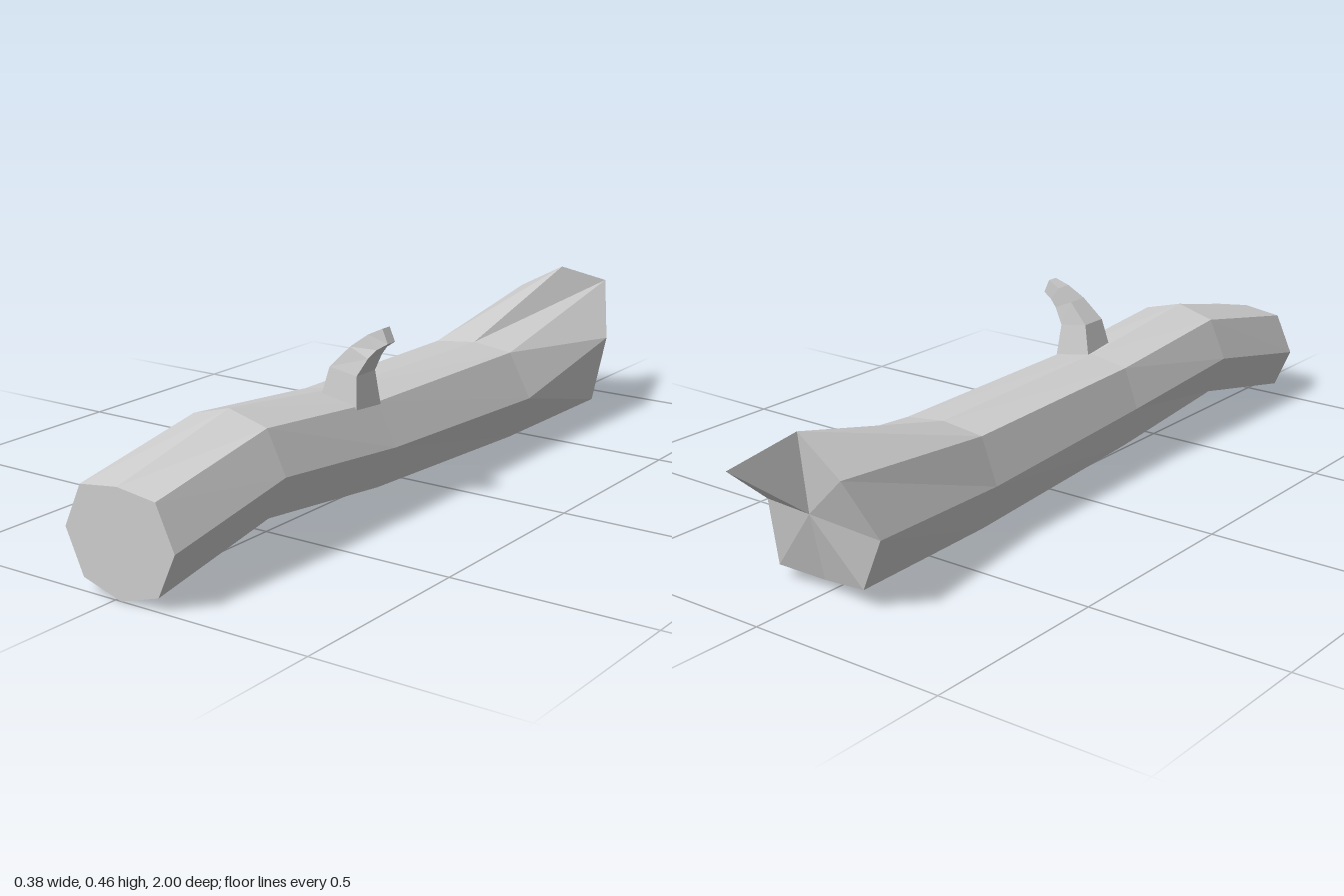
import * as THREE from 'three';

// Flat-faced mesh from polygons, each a list of [x, y, z] corners
function facetMesh(name, polygons, material) {
  const pos = [];
  for (const p of polygons) {
    for (let i = 1; i < p.length - 1; i++) pos.push(...p[0], ...p[i], ...p[i + 1]);
  }
  const geo = new THREE.BufferGeometry();
  geo.setAttribute('position', new THREE.Float32BufferAttribute(pos, 3));
  geo.computeVertexNormals();
  const mesh = new THREE.Mesh(geo, material);
  mesh.name = name;
  return mesh;
}

// Quads joining successive closed rings
function skin(rings) {
  const quads = [];
  for (let r = 0; r < rings.length - 1; r++) {
    const a = rings[r], b = rings[r + 1], n = a.length;
    for (let i = 0; i < n; i++) {
      const j = (i + 1) % n;
      quads.push([a[i], a[j], b[j], b[i]]);
    }
  }
  return quads;
}

// Octagonal trunk section: heights run from the top corner to the bottom corner
function section(z, xs, ys) {
  const [left, innerLeft, mid, innerRight, right] = xs;
  const [top, upper, side, lower, bottom] = ys;
  return [
    [mid, top, z], [innerRight, upper, z], [right, side, z], [innerRight, lower, z],
    [mid, bottom, z], [innerLeft, lower, z], [left, side, z], [innerLeft, upper, z],
  ];
}

export function createModel() {
  const group = new THREE.Group();
  group.name = 'fallenLog';
  const wood = new THREE.MeshStandardMaterial({ color: 0xcccccc, flatShading: true });
  wood.name = 'pale grey wood';

  // Splintered back edge
  const peak = [0.005, 0.393, -0.85], spike = [0.065, 0.335, -1];
  const right = [0.19, 0.225, -0.78], lowRight = [0.155, 0.045, -0.77];
  const bottom = [0.015, 0.022, -0.775], lowLeft = [-0.123, 0.045, -0.8];
  const left = [-0.195, 0.185, -0.82], upLeft = [-0.135, 0.32, -0.87];
  const brokenEdge = [peak, spike, right, lowRight, bottom, lowLeft, left, upLeft];

  // Bent trunk
  const front = section(1, [-0.135, -0.088, 0.016, 0.12, 0.168], [0.25, 0.237, 0.135, 0.031, 0]);
  const rings = [
    front,
    section(0.645, [-0.128, -0.082, 0.02, 0.125, 0.175], [0.333, 0.305, 0.203, 0.1, 0.087]),
    section(0.24, [-0.118, -0.08, 0.025, 0.13, 0.183], [0.288, 0.27, 0.168, 0.06, 0.045]),
    section(-0.36, [-0.138, -0.095, 0.02, 0.13, 0.19], [0.275, 0.262, 0.148, 0.033, 0.01]),
    brokenEdge,
  ];
  group.add(facetMesh('trunk', skin(rings), wood));
  group.add(facetMesh('sawnEnd', [[...front].reverse()], wood));

  // Broken end with a small ledge inside the right edge
  const heart = [0, 0.2, -0.83], ledgeTop = [0.136, 0.2, -0.82], ledgeLow = [0.135, 0.034, -0.795];
  group.add(facetMesh('brokenEnd', [
    [heart, peak, spike, ledgeTop],
    [ledgeTop, spike, right],
    [ledgeTop, right, lowRight, ledgeLow],
    [lowRight, bottom, ledgeLow],
    [heart, ledgeTop, ledgeLow, bottom],
    [heart, bottom, lowLeft, left],
    [heart, left, upLeft, peak],
  ], wood));

  // Curved twig: left x, y, right x, y, front z, back z
  const twig = [
    [0.025, 0.26, 0.135, 0.24, 0.332, 0.228],
    [0.05, 0.36, 0.127, 0.348, 0.318, 0.245],
    [0.1, 0.412, 0.15, 0.39, 0.306, 0.25],
    [0.14, 0.443, 0.165, 0.41, 0.292, 0.25],
    [0.173, 0.459, 0.188, 0.425, 0.281, 0.252],
  ].map(([lx, ly, rx, ry, zf, zb]) => [[lx, ly, zf], [rx, ry, zf], [rx, ry, zb], [lx, ly, zb]]);
  group.add(facetMesh('twig', [...skin(twig), twig[4]], wood));

  return group;
}
